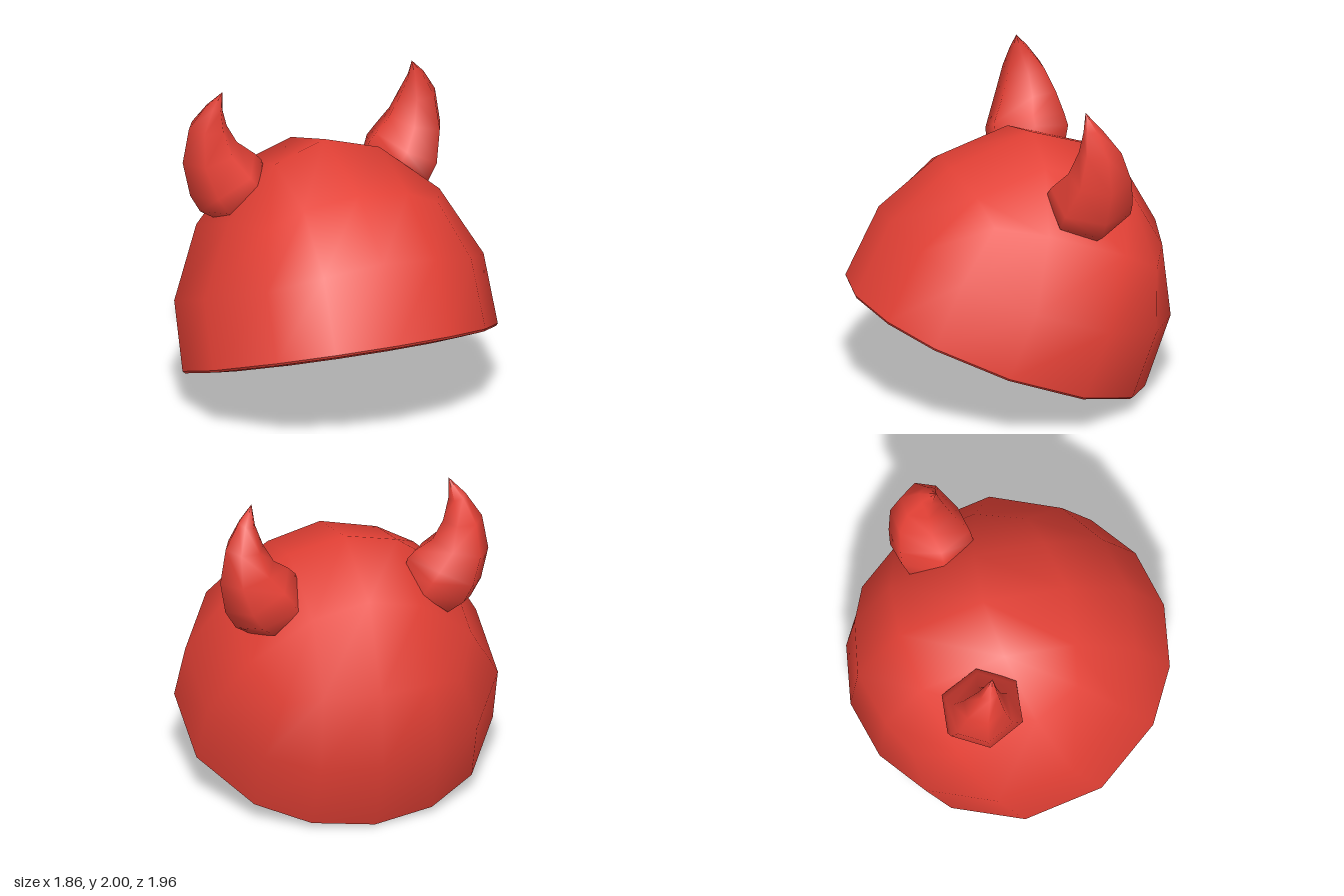
import * as THREE from 'three';

const red = new THREE.MeshStandardMaterial({ color: 0xe34035, side: THREE.DoubleSide });
red.name = 'red';

function makeMesh(name, points, index) {
  const geo = new THREE.BufferGeometry().setFromPoints(points);
  geo.setIndex(index);
  geo.computeVertexNormals();
  const mesh = new THREE.Mesh(geo, red);
  mesh.name = name;
  return mesh;
}

// Triangles joining successive closed rings of n points
function loftIndex(rings, n) {
  const index = [];
  for (let i = 0; i < rings - 1; i++)
    for (let j = 0; j < n; j++) {
      const a = i * n + j, b = i * n + (j + 1) % n;
      index.push(a, b, b + n, a, b + n, a + n);
    }
  return index;
}

function flip(index) {
  const out = [];
  for (let i = 0; i < index.length; i += 3) out.push(index[i], index[i + 2], index[i + 1]);
  return out;
}

// Helmet rings have 14 points; values repeat every half turn
const N = 14;
const rimAngles = [0, 23, 45, 74.5, 105.5, 135, 157];
const crownAngles = [0, 28, 45, 69, 111, 135, 152];
function ring(angles, radii, heights, shift = 0) {
  return Array.from({ length: N }, (_, k) => {
    const t = (angles[k % 7] + (k >= 7 ? 180 : 0)) * Math.PI / 180;
    const r = radii[k % radii.length];
    return new THREE.Vector3(r * Math.sin(t), heights[k % heights.length], r * Math.cos(t) + shift);
  });
}

// Dome: three rings closed by a grid of quads on top
function makeDome() {
  const points = [
    ...ring(rimAngles, [0.965], [0]),
    ...ring(rimAngles, [0.937, 0.94, 0.945, 0.947, 0.947, 0.945, 0.94],
      [0.5, 0.47, 0.43, 0.43, 0.43, 0.43, 0.47], -0.014),
    ...ring(crownAngles, [0.707, 0.725, 0.79, 0.74, 0.74, 0.79, 0.725],
      [0.92, 0.88, 0.79, 0.86, 0.86, 0.79, 0.88], -0.025),
  ];
  const index = loftIndex(3, N);
  const first = points.length;
  for (const [z, top] of [[0.255, 1.267], [-0.3, 1.285]])
    for (const x of [-0.34, 0, 0.34])
      points.push(new THREE.Vector3(x, x ? top - 0.1 : top, z));
  const p = k => 2 * N + k;
  const grid = [
    [p(12), p(13), p(0), p(1), p(2)],
    [p(11), first, first + 1, first + 2, p(3)],
    [p(10), first + 3, first + 4, first + 5, p(4)],
    [p(9), p(8), p(7), p(6), p(5)],
  ];
  for (let r = 0; r < 3; r++)
    for (let c = 0; c < 4; c++) {
      const a = grid[r][c], b = grid[r][c + 1], d = grid[r + 1][c], e = grid[r + 1][c + 1];
      index.push(a, b, e, a, e, d);
    }
  return makeMesh('shell', points, index);
}

// Curved horn: six-sided sections [x, y, z, radius]
function makeHorn(side) {
  const n = 6;
  const sections = [
    [0.475, 1.275, -0.315, 0.2],
    [0.545, 1.36, -0.315, 0.242],
    [0.60, 1.44, -0.317, 0.232],
    [0.67, 1.585, -0.345, 0.178],
    [0.685, 1.755, -0.34, 0.12],
    [0.66, 1.89, -0.305, 0.055],
    [0.62, 2.0, -0.27, 0.001],
  ];
  const points = [];
  sections.forEach(([x, y, z, r], i) => {
    const a = sections[Math.max(i - 1, 0)], b = sections[Math.min(i + 1, sections.length - 1)];
    const len = Math.hypot(b[0] - a[0], b[1] - a[1]);
    const tx = (b[0] - a[0]) / len, ty = (b[1] - a[1]) / len;
    for (let j = 0; j < n; j++) {
      const t = j / n * Math.PI * 2 - 0.07, u = r * Math.cos(t);
      points.push(new THREE.Vector3(side * (x + u * ty), y - u * tx, z + 1.1 * r * Math.sin(t)));
    }
  });
  const index = loftIndex(sections.length, n);
  return makeMesh(side > 0 ? 'leftHorn' : 'rightHorn', points, side > 0 ? flip(index) : index);
}

export function createModel() {
  const model = new THREE.Group();
  model.name = 'hornedHelmet';

  // Hollow helmet shell, tipped back
  const helmet = new THREE.Group();
  helmet.name = 'helmet';
  helmet.position.set(0, 0.367, 0.087);
  helmet.rotation.x = -0.384;
  helmet.add(makeDome());

  // Rim: a lip turned inward, with a narrow bevel at its outer edge
  const lip = ring(rimAngles, [0.783], [-0.03]);
  const bevel = ring(rimAngles, [0.952], [-0.014]);
  helmet.add(makeMesh('rim', [...lip, ...bevel], loftIndex(2, N)));
  helmet.add(makeMesh('rimBevel', [...bevel, ...ring(rimAngles, [0.965], [0])], loftIndex(2, N)));
  model.add(helmet);

  for (const side of [1, -1]) model.add(makeHorn(side));
  return model;
}
